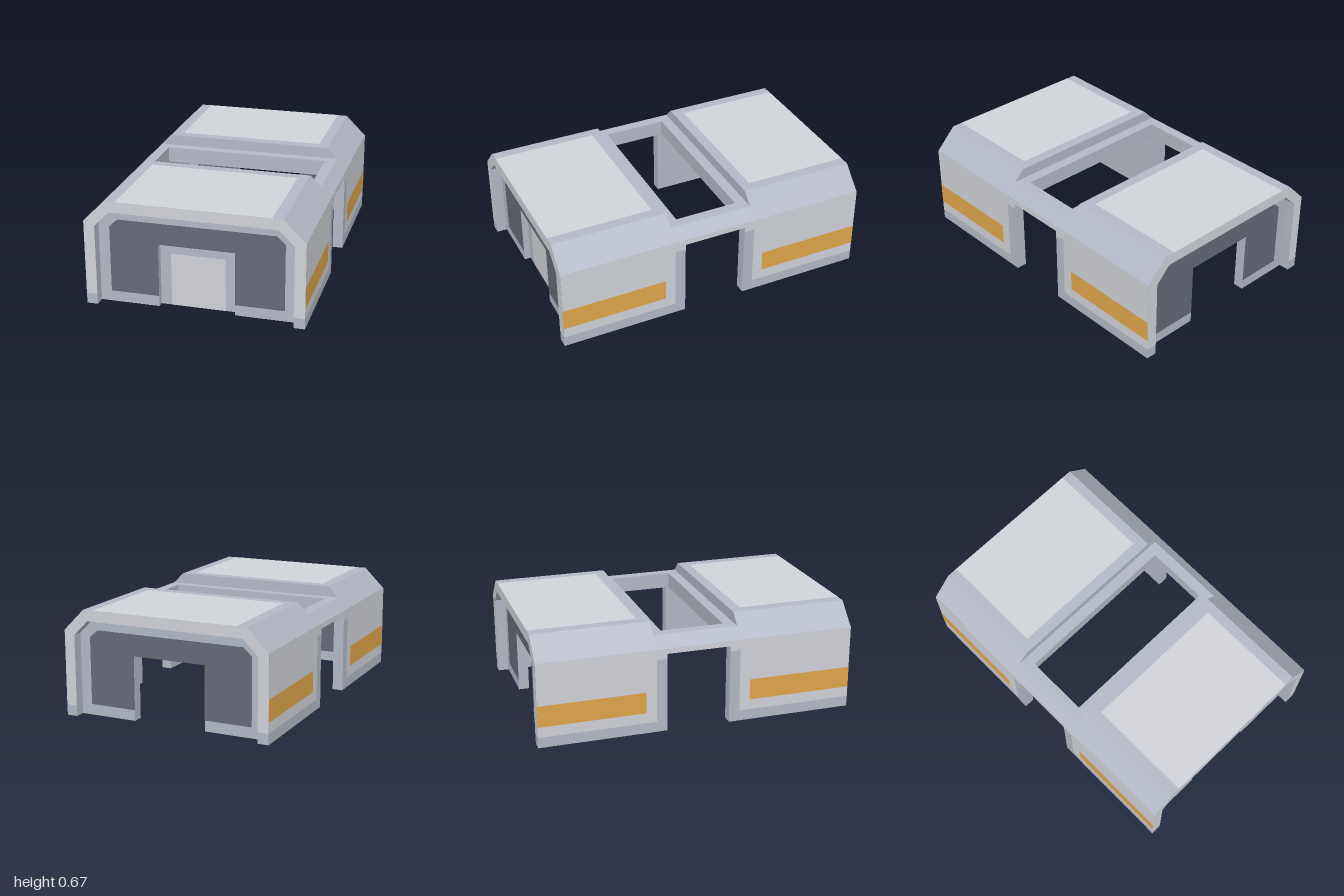
import * as THREE from 'three';

const LIGHT = mat(0xd0d3d8), MID = mat(0xb3b9c5), DARK = mat(0x656a76), ORANGE = mat(0xe0a64c);
const EPS = 0.001; // paint thickness

function mat(color) {
  return new THREE.MeshStandardMaterial({ color, flatShading: true });
}

function poly(points) {
  return new THREE.Shape(points.map(([x, y]) => new THREE.Vector2(x, y)));
}

function rect(x0, y0, x1, y1) {
  return poly([[x0, y0], [x1, y0], [x1, y1], [x0, y1]]);
}

// Half profile (right side, bottom to top) completed by its mirror image
function mirrored(half) {
  return [...half, ...half.map(([x, y]) => [-x, y]).reverse()];
}

const OUTER = [[0.667, 0], [0.667, 0.533], [0.533, 0.667]];
const INNER = [[0.6, 0], [0.6, 0.507], [0.507, 0.6]];
const DOOR = [[0.233, 0], [0.233, 0.4]];

export function createModel() {
  const model = new THREE.Group();

  function add(name, geometry, material) {
    const mesh = new THREE.Mesh(geometry, material);
    mesh.name = name;
    model.add(mesh);
    return mesh;
  }
  // Solid with an x-y outline between two depths
  function slab(name, shape, z0, z1, material) {
    const geometry = new THREE.ExtrudeGeometry(shape, { depth: z1 - z0, bevelEnabled: false });
    return add(name, geometry.translate(0, 0, z0), material);
  }
  // Painted area facing the direction given by a turn about y
  function paint(name, shapes, turn, distance, material) {
    const geometry = new THREE.ShapeGeometry(shapes);
    return add(name, geometry.translate(0, 0, distance).rotateY(turn), material);
  }

  const shell = poly([...mirrored(OUTER), ...mirrored(INNER).reverse()]);
  const endWall = poly([...mirrored(INNER), ...mirrored(DOOR).reverse()]);
  const shellFace = poly([
    ...mirrored([[0.667, 0.067], ...OUTER.slice(1)]),
    ...mirrored([[0.6, 0.067], ...INNER.slice(1)]).reverse(),
  ]);
  const darkPanel = poly([
    ...mirrored([[0.533, 0.067], [0.533, 0.485], [0.48, 0.533]]),
    ...mirrored([[0.233, 0.067], [0.233, 0.4]]).reverse(),
  ]);

  // Two vaulted halves, each closed by a recessed end wall
  for (const s of [1, -1]) {
    const turn = s > 0 ? 0 : Math.PI;
    const span = (a, b) => (s > 0 ? [a, b] : [-b, -a]);
    slab('shell', shell, ...span(0.267, 1), MID);
    slab('endWall', endWall, ...span(0.867, 0.933), MID);
    paint('shellFace', shellFace, turn, 1 + EPS, LIGHT);
    paint('outerWallPanel', darkPanel, turn, 0.933 + EPS, DARK);
    paint('innerWallPanel', darkPanel, turn + Math.PI, -0.867 + EPS, DARK);

    // Light roof panel
    const [z0, z1] = span(0.333, 1);
    const roof = new THREE.ShapeGeometry(rect(-0.467, -z1, 0.467, -z0));
    add('roofPanel', roof.rotateX(-Math.PI / 2).translate(0, 0.667 + EPS, 0), LIGHT);

    // Lower cross beam beside the roof opening, with its side posts
    slab('crossBeam', poly(mirrored([[0.667, 0.5], [0.667, 0.533], [0.6, 0.6]])), ...span(0.2, 0.267), MID);
    for (const x of [-0.667, 0.6]) {
      slab('sideDoorPost', rect(x, 0, x + 0.067, 0.5), ...span(0.2, 0.267), MID);
    }
  }

  // Closed front door, set back in its opening
  slab('frontDoor', poly(mirrored(DOOR)), 0.867, 0.893, MID);
  const doorPanel = rect(-0.167, 0, 0.167, 0.333);
  paint('doorPanel', doorPanel, 0, 0.893 + EPS, LIGHT);
  paint('doorInnerPanel', doorPanel, Math.PI, -0.867 + EPS, LIGHT);

  // Side lintels, light side paint and stripes
  const sidePaint = poly(mirrored([
    [0.2, 0.5], [0.2, 0.467], [0.267, 0.467], [0.267, 0.067], [1, 0.067], [1, 0.533],
  ]));
  const stripes = [rect(0.333, 0.133, 1, 0.267), rect(-1, 0.133, -0.333, 0.267)];
  for (const s of [1, -1]) {
    const lintel = poly([[0.533, 0.5], [0.667, 0.5], [0.667, 0.533], [0.6, 0.6], [0.533, 0.6]]
      .map(([x, y]) => [s * x, y]));
    slab('sideLintel', lintel, -0.2, 0.2, MID);
    paint('sidePaint', sidePaint, s * Math.PI / 2, 0.667 + EPS, LIGHT);
    paint('sideStripe', stripes, s * Math.PI / 2, 0.667 + 2 * EPS, ORANGE);
  }

  return model;
}
